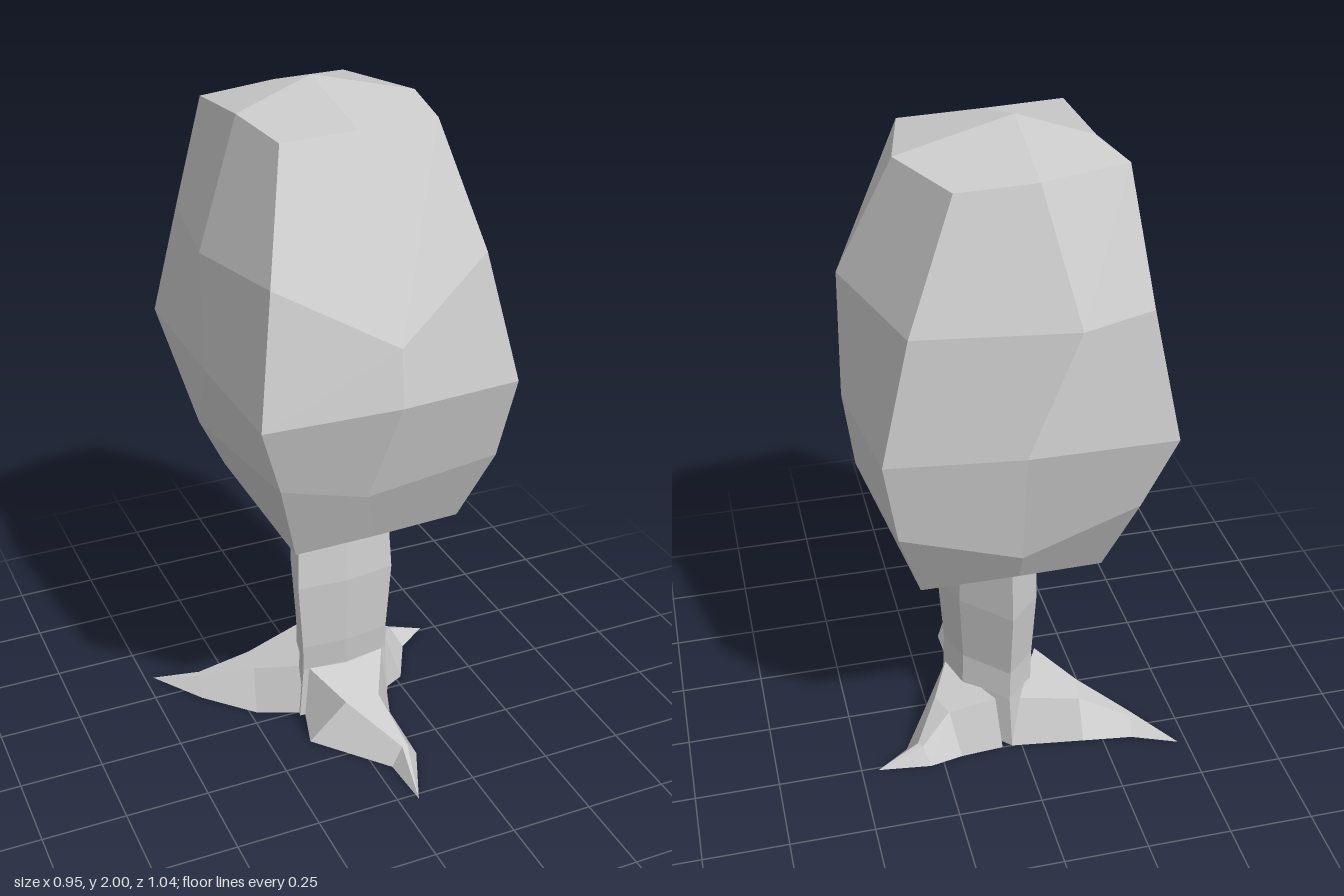
import * as THREE from 'three';

const material = new THREE.MeshStandardMaterial({ color: 0xcccccc });
const vec = (p) => new THREE.Vector3(...p);

// Skin closed rings of [x, y, z] points with facets of four corners.
// Optional base and top points close the ends.
function loft(name, rings, base, top) {
  const n = rings[0].length, positions = [], normals = [];

  // One evenly shaded facet, folded outward along its raised diagonal
  const quad = (a, b, c, d) => {
    const normal = vec(c).sub(vec(a)).cross(vec(d).sub(vec(b))).normalize();
    const foldAC = normal.dot(vec(a)) > normal.dot(vec(b));
    const corners = foldAC ? [a, b, c, a, c, d] : [a, b, d, b, c, d];
    for (const p of corners) {
      positions.push(...p);
      normals.push(normal.x, normal.y, normal.z);
    }
  };

  for (let r = 0; r < rings.length - 1; r++) {
    for (let i = 0; i < n; i++) {
      const j = (i + 1) % n, lo = rings[r], hi = rings[r + 1];
      quad(lo[i], lo[j], hi[j], hi[i]);
    }
  }
  const first = rings[0], last = rings[rings.length - 1];
  for (let i = 0; i < n; i += 2) {
    const h = (i + n - 1) % n, j = i + 1;
    if (base) quad(first[j], first[i], first[h], base);
    if (top) quad(last[h], last[i], last[j], top);
  }

  const geometry = new THREE.BufferGeometry();
  geometry.setAttribute('position', new THREE.Float32BufferAttribute(positions, 3));
  geometry.setAttribute('normal', new THREE.Float32BufferAttribute(normals, 3));
  const mesh = new THREE.Mesh(geometry, material);
  mesh.name = name;
  return mesh;
}

// Crown rings run from the front corner at -x through front, +x side, back and -x side.
const crownRings = [
  [[-0.2, 0.735, 0.22], [0.05, 0.735, 0.215], [0.32, 0.735, 0.2], [0.32, 0.735, -0.1],
    [0.32, 0.735, -0.365], [0.04, 0.735, -0.365], [-0.2, 0.735, -0.36], [-0.2, 0.735, -0.08]],
  [[-0.27, 0.99, 0.29], [-0.02, 0.93, 0.31], [0.39, 0.965, 0.29], [0.46, 1.07, -0.2],
    [0.39, 0.97, -0.45], [0.06, 0.88, -0.48], [-0.28, 0.97, -0.44], [-0.37, 1.05, -0.08]],
  [[-0.35, 1.22, 0.365], [0.05, 1.22, 0.38], [0.415, 1.22, 0.35], [0.473, 1.22, -0.08],
    [0.43, 1.22, -0.48], [0.06, 1.22, -0.525], [-0.35, 1.22, -0.525], [-0.355, 1.22, -0.06]],
  [[-0.28, 1.57, 0.265], [0.04, 1.4, 0.385], [0.36, 1.57, 0.24], [0.463, 1.57, -0.04],
    [0.35, 1.57, -0.465], [-0.08, 1.57, -0.525], [-0.29, 1.57, -0.45], [-0.357, 1.57, -0.06]],
  [[-0.21, 1.92, 0.165], [0.02, 1.92, 0.14], [0.26, 1.92, 0.12], [0.32, 1.92, -0.145],
    [0.22, 1.92, -0.41], [0, 1.92, -0.395], [-0.25, 1.92, -0.32], [-0.22, 1.92, -0.12]],
];

// Trunk section: wide front, narrowing to an edge at the back; as fractions of its limits.
const trunkSection = [[0, 0.96], [0.5, 1], [1, 0.92], [0.87, 0.48], [0.45, 0], [0.14, 0.36]];
const trunkRing = ([y, x0, x1, z0, z1]) =>
  trunkSection.map(([fx, fz]) => [x0 + (x1 - x0) * fx, y, z0 + (z1 - z0) * fz]);

// Root with a flat-topped ridge. Each station gives the ridge [x, height, z], the two
// ground points [x, z] (right one first, seen from the tip) and the ridge's share of the width.
function root(name, tip, stations) {
  const rings = stations.map(([[x, h, z], right, left, share]) => {
    const dx = (right[0] - left[0]) / 2 * share, dz = (right[1] - left[1]) / 2 * share;
    return [[right[0], 0, right[1]], [x + dx, h, z + dz], [x - dx, h, z - dz], [left[0], 0, left[1]]];
  });
  return loft(name, [...rings, [tip, tip, tip, tip]]);
}

export function createModel() {
  const tree = new THREE.Group();
  tree.name = 'tree';

  tree.add(loft('crown', crownRings, [0.06, 0.735, -0.08], [0, 2, -0.13]));

  tree.add(loft('trunk', [
    [0, -0.11, 0.2, -0.25, 0.03],
    [0.17, -0.095, 0.19, -0.23, 0.025],
    [0.26, -0.1, 0.185, -0.22, 0.035],
    [0.48, -0.115, 0.2, -0.245, 0.04],
    [0.76, -0.1, 0.19, -0.24, 0.01],
  ].map(trunkRing), [0.04, 0, -0.1]));

  // Three bent roots meeting around the foot of the trunk
  tree.add(root('frontRoot', [0.06, 0, 0.52], [
    [[0.05, 0.17, 0.01], [0.19, 0], [-0.09, 0.01], 0.9],
    [[0.04, 0.12, 0.16], [0.14, 0.16], [-0.13, 0.15], 0.4],
    [[0.095, 0.06, 0.35], [0.145, 0.33], [0.05, 0.36], 0.2]]));
  tree.add(root('backRightRoot', [-0.474, 0, -0.355], [
    [[-0.05, 0.17, -0.12], [-0.09, 0.01], [0.03, -0.25], 0.85],
    [[-0.2, 0.115, -0.17], [-0.23, -0.05], [-0.19, -0.28], 0.4],
    [[-0.35, 0.05, -0.25], [-0.363, -0.19], [-0.34, -0.3], 0.2]]));
  tree.add(root('leftRoot', [0.45, 0, -0.26], [
    [[0.13, 0.17, -0.11], [0.06, -0.25], [0.19, 0], 0.85],
    [[0.23, 0.13, -0.16], [0.19, -0.26], [0.27, -0.04], 0.35],
    [[0.315, 0.055, -0.24], [0.29, -0.28], [0.35, -0.19], 0.2]]));

  return tree;
}
